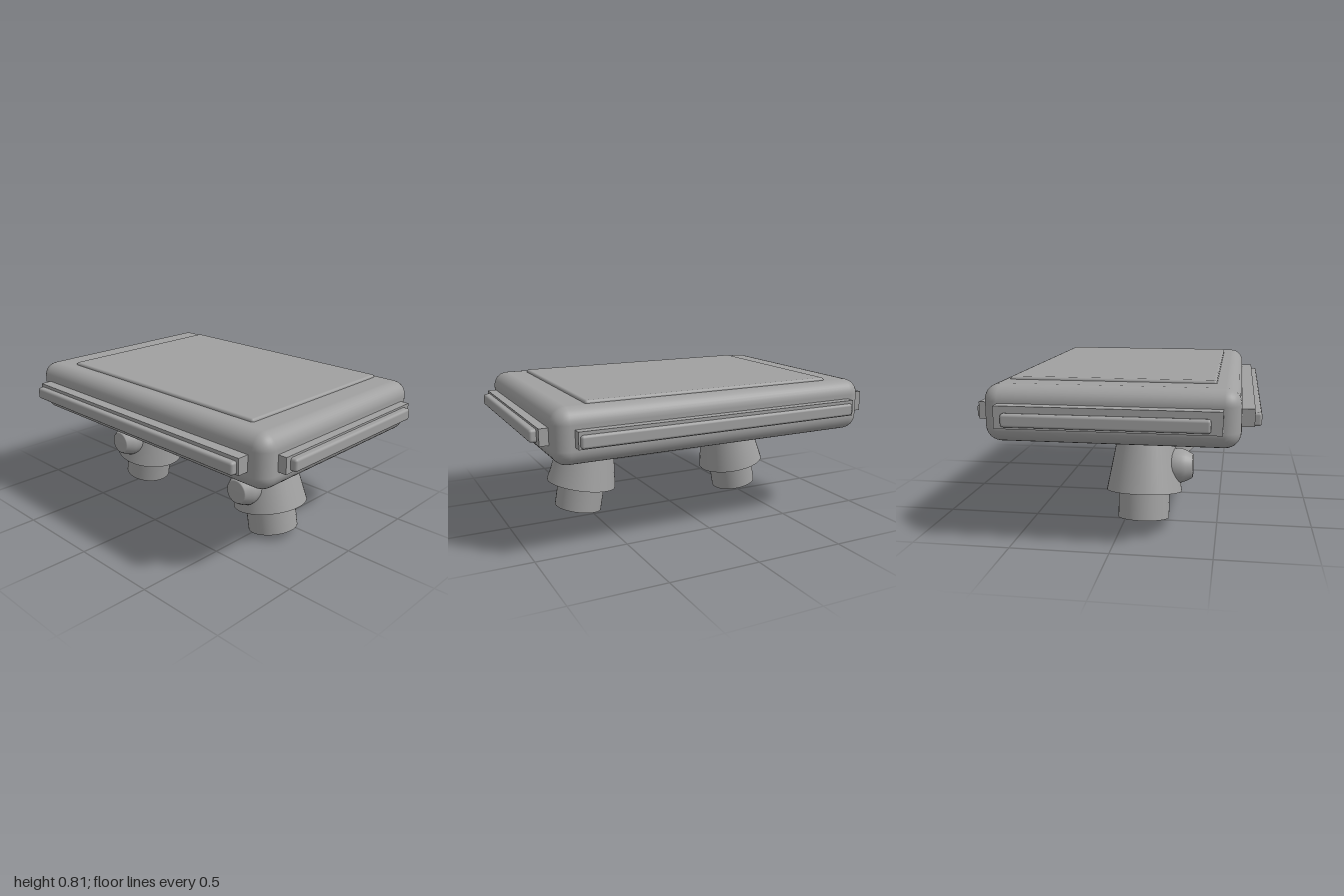
import * as THREE from 'three';
import { RoundedBoxGeometry } from 'three/addons/geometries/RoundedBoxGeometry.js';

const grey = new THREE.MeshStandardMaterial({ color: 0xa0a0a0 });
grey.name = 'grey';
grey.side = THREE.DoubleSide;

// Box between two corners, with rounded edges when a radius is given
function block(name, [x0, y0, z0], [x1, y1, z1], radius = 0, segments = 2) {
  const size = [x1 - x0, y1 - y0, z1 - z0];
  const geometry = radius
    ? new RoundedBoxGeometry(...size, segments, radius)
    : new THREE.BoxGeometry(...size);
  const mesh = new THREE.Mesh(geometry, grey);
  mesh.name = name;
  mesh.position.set((x0 + x1) / 2, (y0 + y1) / 2, (z0 + z1) / 2);
  return mesh;
}

// Tilted leg: flared collar, open tube below and a knob on the side
function leg(name, z, tilt) {
  const group = new THREE.Group();
  group.name = name;

  const collar = new THREE.Mesh(new THREE.CylinderGeometry(0.132, 0.204, 0.4, 40), grey);
  collar.name = 'collar';
  collar.position.y = 0.2;

  const tube = new THREE.Mesh(new THREE.CylinderGeometry(0.138, 0.138, 0.16, 40, 1, true), grey);
  tube.name = 'tube';
  tube.position.y = -0.067;

  const profile = [
    [0, 0], [0.07, 0], [0.088, 0.03], [0.093, 0.06], [0.092, 0.1],
    [0.083, 0.125], [0.067, 0.155], [0.062, 0.16], [0, 0.16],
  ].map(([r, y]) => new THREE.Vector2(r, y));
  const knob = new THREE.Mesh(new THREE.LatheGeometry(profile, 28), grey);
  knob.name = 'knob';
  knob.rotation.z = Math.PI / 2;
  knob.position.set(-0.1, 0.14, 0);

  group.add(collar, tube, knob);
  group.position.set(-0.105, 0.17, z);
  group.rotation.x = tilt;
  return group;
}

export function createModel() {
  const model = new THREE.Group();
  model.name = 'panelOnLegs';

  // Slab with a raised panel
  model.add(
    block('body', [-0.615, 0.505, -0.91], [0.645, 0.793, 0.915], 0.08, 4),
    block('topPanel', [-0.49, 0.76, -0.705], [0.56, 0.808, 0.73], 0.014),
  );

  // Rails on the four sides, each a base with a rounded bar
  model.add(
    block('frontRail', [-0.517, 0.605, 0.85], [0.55, 0.692, 0.963]),
    block('frontBar', [-0.487, 0.615, 0.93], [0.51, 0.681, 0.998], 0.014),
    block('backRail', [-0.53, 0.594, -0.975], [0.56, 0.706, -0.85]),
    block('backBar', [-0.476, 0.606, -1], [0.522, 0.672, -0.93], 0.014),
    block('leftRail', [0.58, 0.605, -0.808], [0.692, 0.692, 0.815]),
    block('leftBar', [0.65, 0.608, -0.797], [0.708, 0.675, 0.806], 0.014),
    block('rightRail', [-0.677, 0.605, -0.808], [-0.56, 0.692, 0.815]),
    block('rightBar', [-0.71, 0.607, -0.802], [-0.65, 0.674, 0.803], 0.014),
  );

  // Legs splayed towards front and back
  model.add(leg('frontLeg', 0.535, -0.174), leg('backLeg', -0.5, 0.174));
  return model;
}
